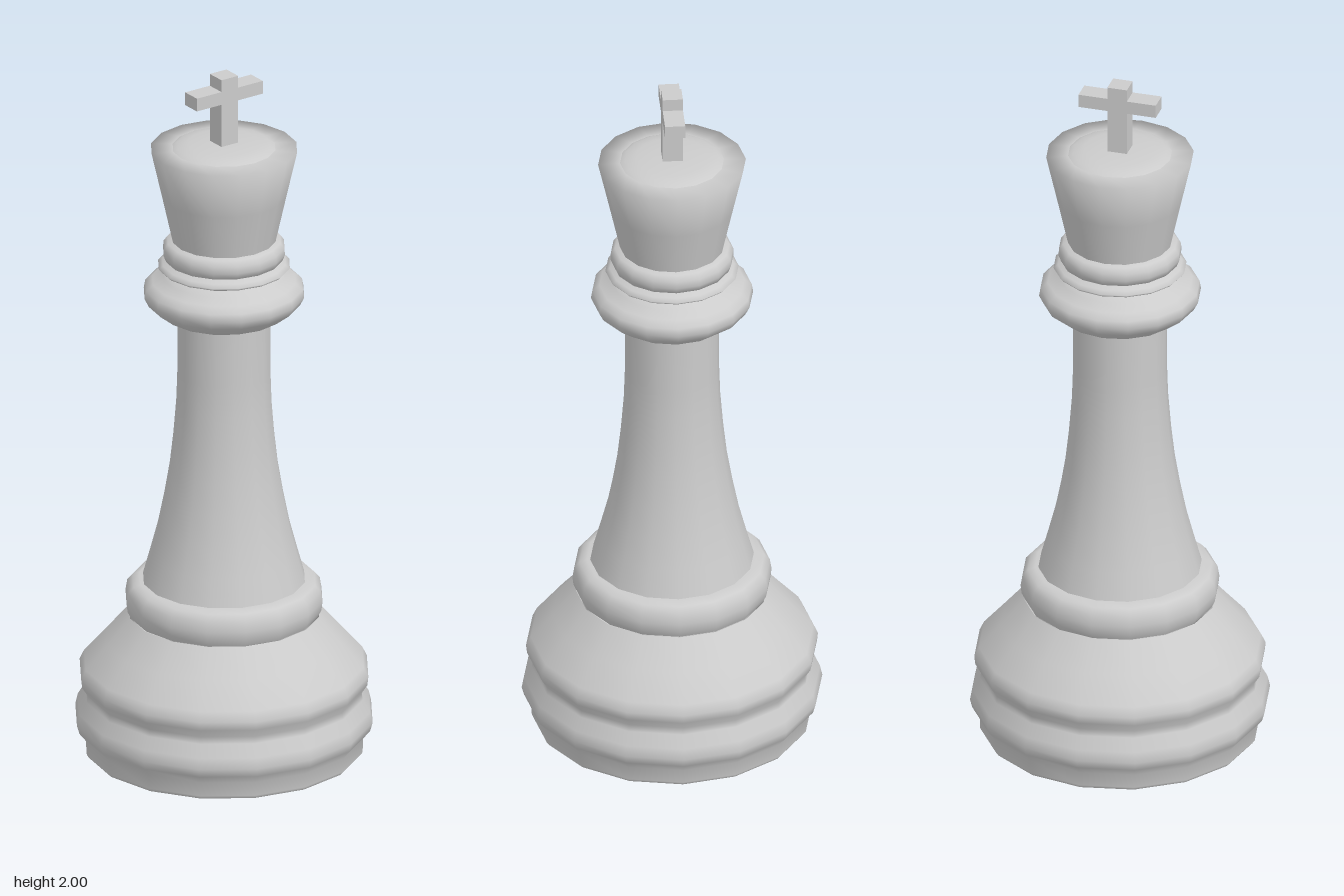
import * as THREE from 'three';

const SIDES = 16;
const material = new THREE.MeshStandardMaterial({ color: 0xcccccc, side: THREE.DoubleSide });

// Turned part from [radius, height] pairs, listed bottom to top
function turned(name, profile) {
  const points = profile.map(([r, y]) => new THREE.Vector2(r, y));
  const mesh = new THREE.Mesh(new THREE.LatheGeometry(points, SIDES), material);
  mesh.name = name;
  return mesh;
}

function block(name, w, h, d, y) {
  const mesh = new THREE.Mesh(new THREE.BoxGeometry(w, h, d), material);
  mesh.position.y = y;
  mesh.name = name;
  return mesh;
}

export function createModel() {
  const group = new THREE.Group();
  group.name = 'chessKing';

  // Flat underside, doubled at the rim so its edge stays crisp
  group.add(turned('underside', [[0, 0], [0.38, 0]]));

  // Moulded foot with two swellings and a sloping shoulder
  group.add(turned('base', [
    [0.38, 0], [0.387, 0.01], [0.388, 0.05], [0.408, 0.075], [0.415, 0.1], [0.408, 0.13],
    [0.387, 0.165], [0.384, 0.185], [0.4, 0.21], [0.403, 0.235], [0.39, 0.262],
    [0.33, 0.33], [0.265, 0.405],
  ]));

  // Rounded ring on top of the foot
  group.add(turned('baseRing', [
    [0.262, 0.405], [0.272, 0.425], [0.275, 0.45], [0.27, 0.48], [0.255, 0.497],
    [0.235, 0.504], [0.2, 0.504],
  ]));

  // Flared column
  group.add(turned('column', [
    [0.227, 0.5], [0.205, 0.58], [0.184, 0.66], [0.166, 0.75], [0.151, 0.84],
    [0.141, 0.93], [0.133, 1.03], [0.13, 1.12], [0.13, 1.29],
  ]));

  // Wide collar
  group.add(turned('collar', [
    [0.12, 1.283], [0.145, 1.285], [0.17, 1.295], [0.212, 1.328], [0.224, 1.352],
    [0.22, 1.375], [0.2, 1.392], [0.168, 1.405], [0.163, 1.42], [0.14, 1.422],
  ]));

  // Thin disc and rounded ring under the crown
  group.add(turned('neckDisc', [
    [0.155, 1.42], [0.178, 1.43], [0.184, 1.437], [0.172, 1.446], [0.155, 1.455],
  ]));
  group.add(turned('neckRing', [
    [0.15, 1.452], [0.163, 1.457], [0.17, 1.475], [0.169, 1.495], [0.158, 1.51], [0.135, 1.515],
  ]));

  // Flared crown with a flat top
  group.add(turned('crown', [[0.142, 1.505], [0.173, 1.645], [0.204, 1.782], [0.14, 1.785], [0, 1.785]]));

  // Shallow dome
  group.add(turned('dome', [[0.145, 1.784], [0.13, 1.792], [0.1, 1.798], [0.05, 1.801], [0, 1.802]]));

  // Cross finial
  const cross = new THREE.Group();
  cross.name = 'cross';
  cross.add(block('crossPost', 0.056, 0.22, 0.056, 1.89));
  for (const side of [-1, 1]) {
    const arm = block(side > 0 ? 'leftArm' : 'rightArm', 0.083, 0.038, 0.056, 1.946);
    arm.position.x = side * 0.0695;
    cross.add(arm);
  }
  group.add(cross);

  return group;
}
